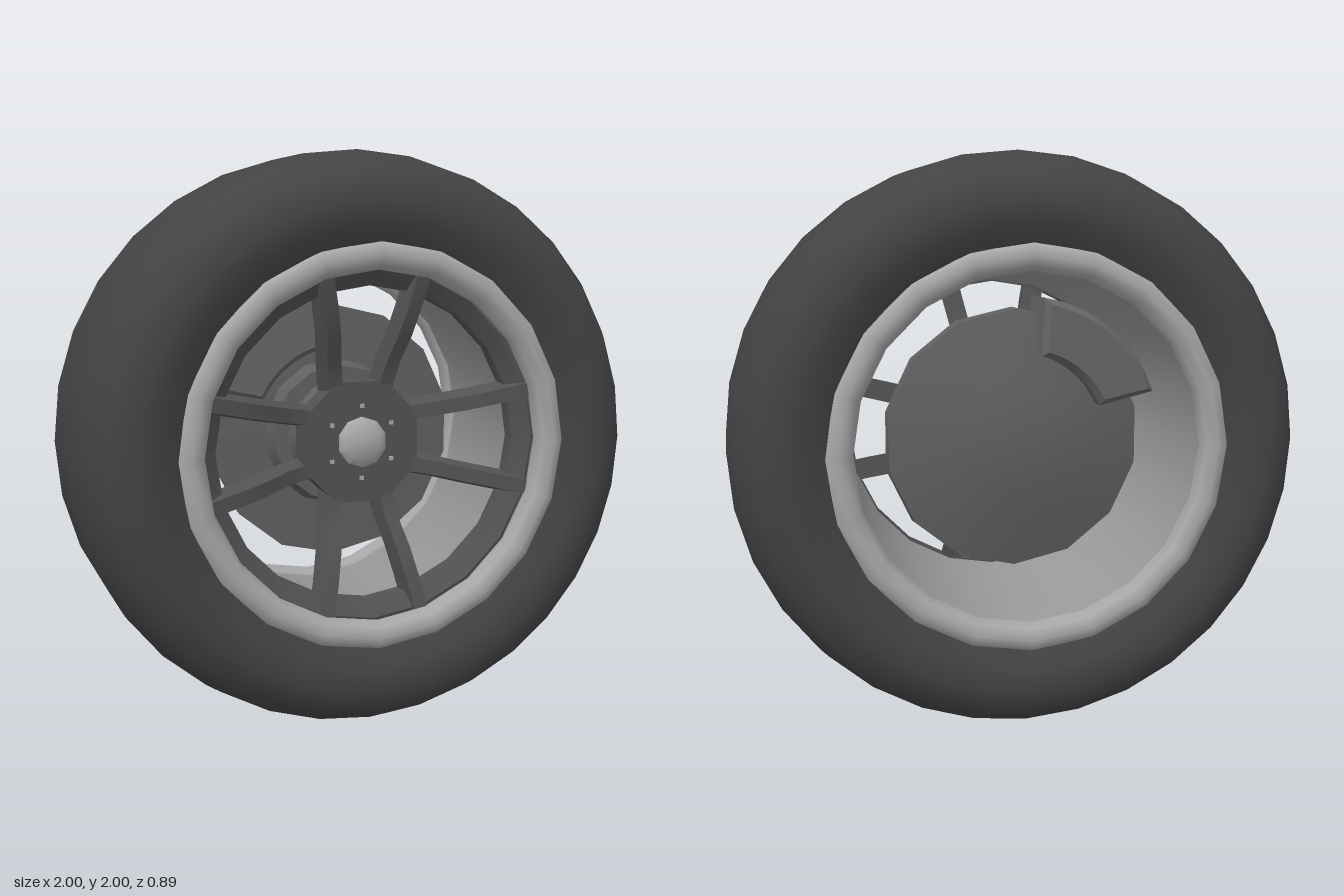
import * as THREE from 'three';
import { toCreasedNormals } from 'three/addons/utils/BufferGeometryUtils.js';

const mat = (name, color, side = THREE.FrontSide) => {
  const m = new THREE.MeshStandardMaterial({ color, side });
  m.name = name;
  return m;
};

export function createModel() {
  const rubber = mat('rubber', 0x434343);
  const silver = mat('silver', 0xa8a8a8);
  const barrelGrey = mat('barrelGrey', 0x989898, THREE.DoubleSide);
  const alloy = mat('alloy', 0x525252);
  const steel = mat('steel', 0x606060);
  const caliperGrey = mat('caliperGrey', 0x666666);

  const group = new THREE.Group();
  const wheel = new THREE.Group();
  wheel.name = 'wheel';
  wheel.position.y = 1;
  group.add(wheel);

  const add = (name, geometry, material, parent = wheel) => {
    const mesh = new THREE.Mesh(geometry, material);
    mesh.name = name;
    parent.add(mesh);
    return mesh;
  };

  // Turned part around the z axle; profile is [radius, z] pairs
  const turned = (profile, segments, crease = 0.7) => {
    const g = new THREE.LatheGeometry(profile.map(([r, z]) => new THREE.Vector2(r, z)), segments);
    g.rotateX(Math.PI / 2);
    return toCreasedNormals(g, crease);
  };

  // Tyre
  const half = [[1, 0.17], [0.972, 0.31], [0.915, 0.41], [0.83, 0.445], [0.75, 0.435], [0.66, 0.38]];
  const tyre = [...half.map(([r, z]) => [r, -z]).reverse(), ...half];
  add('tyre', turned(tyre, 32, 1.2), rubber);

  // Rim lips, front and back
  for (const s of [1, -1]) {
    const lip = add(s > 0 ? 'frontLip' : 'backLip', new THREE.TorusGeometry(0.65, 0.052, 8, 20), silver);
    lip.position.z = s * 0.37;
  }

  // Barrel narrowing towards the front
  add('barrel', turned([[0.63, -0.37], [0.6, -0.2], [0.55, 0.26]], 20), barrelGrey);

  // Ring that carries the spokes
  add('spokeRing', turned([[0.63, 0.25], [0.63, 0.33], [0.6, 0.34], [0.545, 0.3], [0.545, 0.25], [0.63, 0.25]], 20), alloy);

  // Hub plate with corners at the spoke roots
  const hubShape = new THREE.Shape();
  for (let i = 0; i < 4; i++) {
    for (const d of [-0.41, 0.41]) {
      const a = i * Math.PI / 2 + d;
      const p = [0.23 * Math.cos(a), 0.23 * Math.sin(a)];
      if (i === 0 && d < 0) hubShape.moveTo(...p);
      else hubShape.lineTo(...p);
    }
  }
  const hubGeo = new THREE.ExtrudeGeometry(hubShape, { depth: 0.09, bevelEnabled: false });
  add('hub', hubGeo, alloy).position.z = 0.13;

  // Four pairs of bent, bevelled spokes
  const bend = new THREE.CatmullRomCurve3([
    new THREE.Vector3(0.09, 0.17, 0.215), new THREE.Vector3(0.105, 0.26, 0.235),
    new THREE.Vector3(0.135, 0.4, 0.31), new THREE.Vector3(0.178, 0.595, 0.355),
  ]);
  const spokeGeometry = (side) => {
    const g = new THREE.BoxGeometry(1, 1, 1, 1, 5, 1);
    const pos = g.attributes.position;
    for (let i = 0; i < pos.count; i++) {
      const t = pos.getY(i) + 0.5;
      const c = bend.getPoint(t);
      const front = pos.getZ(i) > 0;
      const width = front ? 0.05 : 0.078;
      pos.setXYZ(i, side * c.x + pos.getX(i) * width, c.y, front ? c.z : c.z - 0.085);
    }
    return toCreasedNormals(g, 0.4);
  };
  for (let i = 0; i < 4; i++) {
    const pair = new THREE.Group();
    pair.name = 'spokePair';
    pair.rotation.z = i * Math.PI / 2;
    wheel.add(pair);
    for (const side of [-1, 1]) add('spoke', spokeGeometry(side), alloy, pair);
  }

  // Centre cap and lug bolts
  add('centreCap', turned([[0.09, 0.2], [0.088, 0.235], [0.06, 0.255], [0, 0.262]], 10, 1), silver);
  for (let i = 0; i < 6; i++) {
    const a = Math.PI / 2 + i * Math.PI / 3;
    const bolt = add('lugBolt', new THREE.BoxGeometry(0.014, 0.014, 0.02), silver);
    bolt.position.set(0.127 * Math.cos(a), 0.127 * Math.sin(a), 0.218);
  }

  // Brake disc with domed back, and the axle behind the hub
  add('brakeDisc', turned([
    [0, -0.21], [0.2, -0.19], [0.46, -0.12], [0.465, -0.07], [0.27, -0.06], [0.25, 0], [0, 0],
  ], 14), steel);
  add('axle', turned([[0.2, -0.01], [0.17, 0.14]], 12), steel);

  // Caliper: an arc clamping the upper right of the disc
  const caliperShape = new THREE.Shape();
  const from = 1.78, to = 2.76;
  caliperShape.absarc(0, 0, 0.49, from, to, false);
  caliperShape.absarc(0, 0, 0.33, to - 0.08, from + 0.08, true);
  const caliperGeo = new THREE.ExtrudeGeometry(caliperShape, {
    depth: 0.2, curveSegments: 5, bevelSize: 0.02, bevelThickness: 0.025, bevelSegments: 1,
  });
  add('caliper', toCreasedNormals(caliperGeo, 0.5), caliperGrey).position.z = -0.22;

  return group;
}
